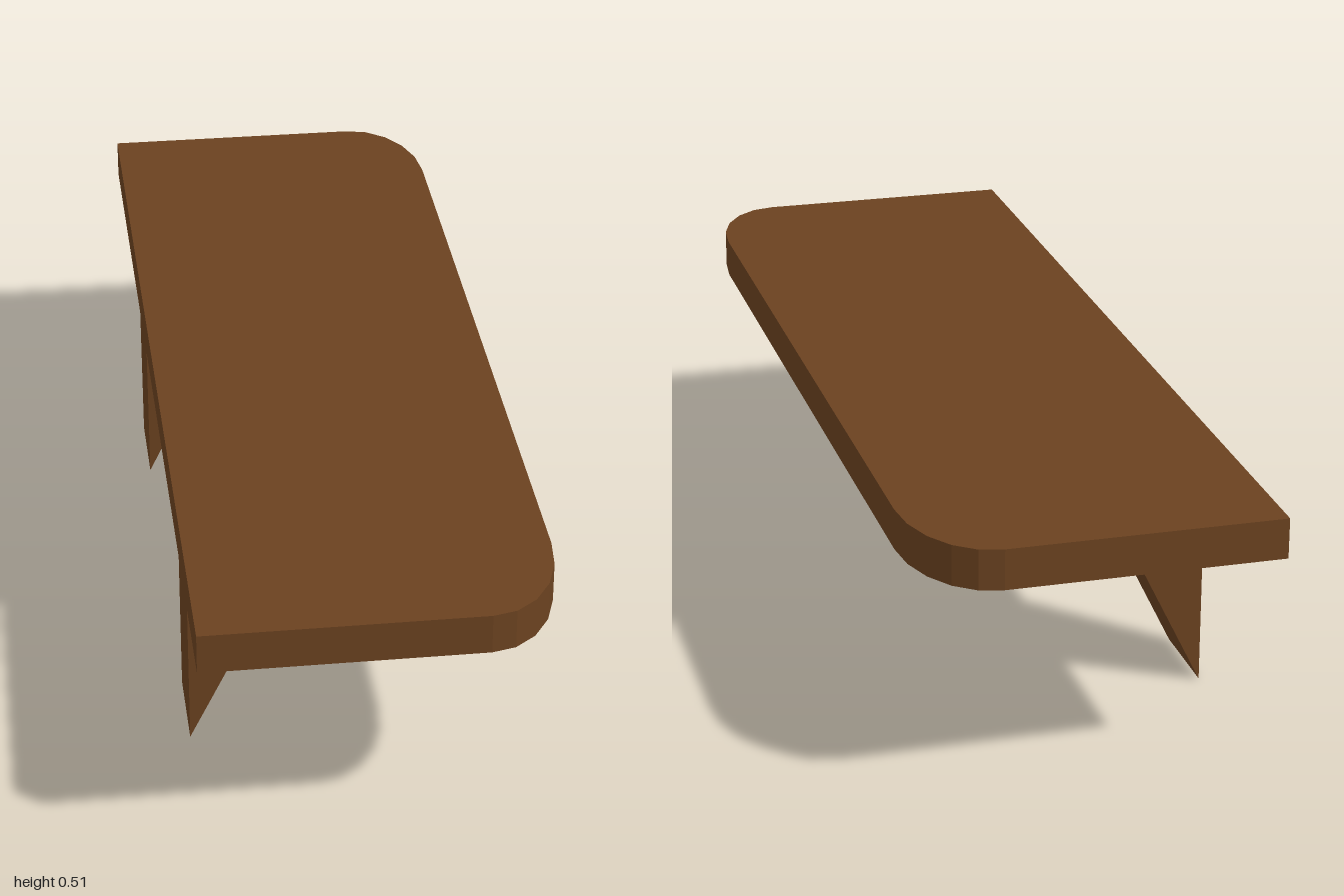
import * as THREE from 'three';

const material = new THREE.MeshStandardMaterial({ color: 0x6b4220, flatShading: true });

function extrude(name, points, depth) {
  const shape = new THREE.Shape(points.map(([x, y]) => new THREE.Vector2(x, y)));
  const geometry = new THREE.ExtrudeGeometry(shape, { depth, bevelEnabled: false });
  const mesh = new THREE.Mesh(geometry, material);
  mesh.name = name;
  return mesh;
}

export function createModel() {
  const group = new THREE.Group();
  group.name = 'wallShelf';

  // Board: square corners on the wall edge, faceted elliptical corners on the free edge
  const halfWidth = 0.335, rx = 0.145, rz = 0.22, steps = 5;
  const corner = [];
  for (let i = 0; i <= steps; i++) {
    const a = (i / steps) * Math.PI / 2;
    corner.push([halfWidth - rx + rx * Math.sin(a), 1 - rz + rz * Math.cos(a)]);
  }
  const mirrored = corner.map(([x, z]) => [x, -z]).reverse();
  const board = extrude('board', [[-halfWidth, -1], [-halfWidth, 1], ...corner, ...mirrored], 0.078);
  board.rotation.x = Math.PI / 2;
  board.position.y = 0.515;
  group.add(board);

  // Two tapering brackets with a short lip under the board
  const profile = [[-0.32, 0.002], [-0.135, 0.379], [-0.064, 0.379], [-0.064, 0.437], [-0.32, 0.437]];
  for (const [name, z] of [['frontBracket', 0.41], ['backBracket', -0.587]]) {
    const bracket = extrude(name, profile, 0.184);
    bracket.position.z = z;
    group.add(bracket);
  }
  return group;
}
